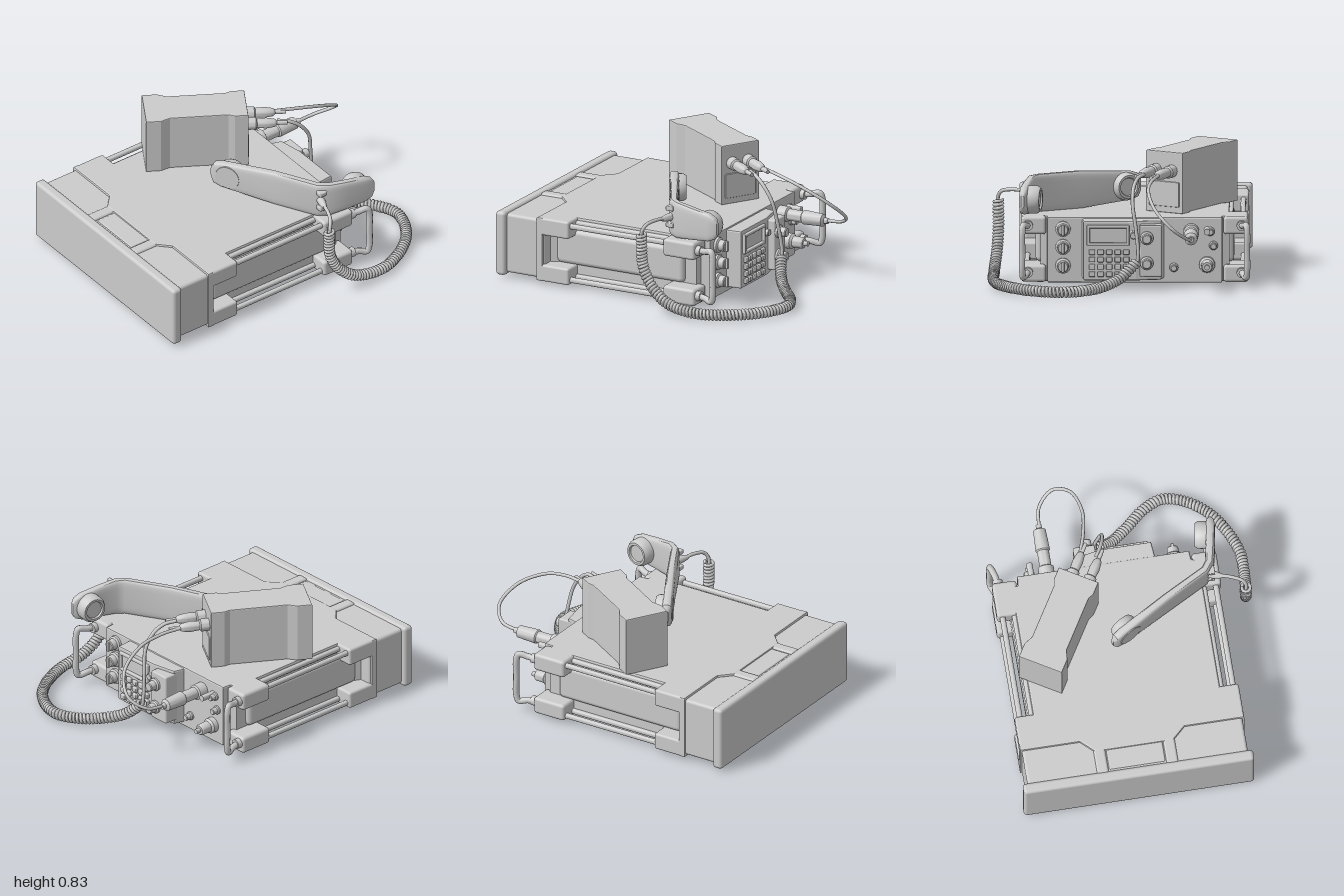
import * as THREE from 'three';
import { RoundedBoxGeometry } from 'three/addons/geometries/RoundedBoxGeometry.js';
import { toCreasedNormals } from 'three/addons/utils/BufferGeometryUtils.js';

const mat = new THREE.MeshStandardMaterial({ color: 0xcccccc });
const V = (x, y, z) => new THREE.Vector3(x, y, z);

function add(parent, name, geo) {
  const m = new THREE.Mesh(geo, mat);
  m.name = name;
  parent.add(m);
  return m;
}

// Rounded box given by its limits
function box(parent, name, x0, x1, y0, y1, z0, z1, r = 0.01) {
  const m = add(parent, name, new RoundedBoxGeometry(x1 - x0, y1 - y0, z1 - z0, 2, r));
  m.position.set((x0 + x1) / 2, (y0 + y1) / 2, (z0 + z1) / 2);
  return m;
}

// Plan outline of [x, z] points raised from y0 to y1
function prism(parent, name, pts, y0, y1, b = 0.01) {
  const shape = new THREE.Shape(pts.map(([x, z]) => new THREE.Vector2(x, -z)));
  const geo = new THREE.ExtrudeGeometry(shape, {
    depth: y1 - y0 - 2 * b, bevelThickness: b, bevelSize: b, bevelOffset: -b, bevelSegments: 2,
  });
  geo.rotateX(-Math.PI / 2).translate(0, y0 + b, 0);
  return add(parent, name, geo);
}

// Turned part from a to b; profile is [radius, fraction along axis]
function turned(parent, name, a, b, profile, sides = 24) {
  const d = b.clone().sub(a), len = d.length();
  const pts = [[0, profile[0][1]], ...profile, [0, profile.at(-1)[1]]];
  const geo = new THREE.LatheGeometry(pts.map(([r, t]) => new THREE.Vector2(r, t * len)), sides);
  const m = add(parent, name, toCreasedNormals(geo, 0.6));
  m.position.copy(a);
  m.quaternion.setFromUnitVectors(V(0, 1, 0), d.normalize());
  return m;
}
const rod = (parent, name, a, b, r, sides) => turned(parent, name, a, b, [[r, 0], [r, 1]], sides);
const knob = (parent, name, x, y, z0, z1, r, sides) =>
  turned(parent, name, V(x, y, z0), V(x, y, z1), [[r, 0], [r, 0.35], [r * 0.75, 0.45], [r * 0.72, 0.93], [r * 0.6, 1]], sides);

function cable(parent, name, pts, r) {
  return add(parent, name, new THREE.TubeGeometry(new THREE.CatmullRomCurve3(pts), 64, r, 8));
}

// Handset grip: rounded sections [x, z, half thickness, half height] along a bent path
function gripGeometry(secs, yMid) {
  const n = 24, pos = [], idx = [];
  const sq = (v) => Math.sign(v) * Math.abs(v) ** 0.45;
  secs.forEach(([x, z, t, h], i) => {
    const p = secs[Math.max(i - 1, 0)], q = secs[Math.min(i + 1, secs.length - 1)];
    const d = new THREE.Vector2(q[0] - p[0], q[1] - p[1]).normalize();
    for (let j = 0; j < n; j++) {
      const a = (j / n) * 2 * Math.PI, o = sq(Math.cos(a)) * t;
      pos.push(x + d.y * o, yMid + sq(Math.sin(a)) * h, z - d.x * o);
    }
  });
  for (let i = 0; i < secs.length - 1; i++) for (let j = 0; j < n; j++) {
    const a = i * n + j, b = i * n + (j + 1) % n;
    idx.push(a, b, a + n, b, b + n, a + n);
  }
  const last = (secs.length - 1) * n;
  for (let j = 1; j < n - 1; j++) idx.push(0, j + 1, j, last, last + j, last + j + 1);
  const geo = new THREE.BufferGeometry();
  geo.setAttribute('position', new THREE.Float32BufferAttribute(pos, 3));
  geo.setIndex(idx);
  return toCreasedNormals(geo, 0.6);
}

// Coiled cord wound round a guide curve
function coilGeometry(guide, turns, radius, wire) {
  const steps = turns * 10, f = guide.computeFrenetFrames(steps), pts = [];
  for (let i = 0; i <= steps; i++) {
    const a = (i / 10) * 2 * Math.PI;
    pts.push(guide.getPointAt(i / steps)
      .addScaledVector(f.normals[i], Math.cos(a) * radius)
      .addScaledVector(f.binormals[i], Math.sin(a) * radius));
  }
  return new THREE.TubeGeometry(new THREE.CatmullRomCurve3(pts), steps, wire, 6);
}

function buildCase() {
  const g = new THREE.Group();
  g.name = 'radioCase';
  g.position.x = -0.093;
  // Main slab, mirrored plan outline from back to front
  const half = [[0.335, -0.45], [0.55, -0.45], [0.555, -0.39], [0.597, -0.38], [0.597, 0.6], [0.625, 0.66],
    [0.717, 0.67], [0.717, 0.71], [0.335, 0.71], [0.25, 0.79]];
  prism(g, 'mainCase', [...half, ...half.map(([x, z]) => [-x, z]).reverse()], 0.02, 0.44);
  // Battery box, end plate and latches
  box(g, 'batteryBox', -0.705, 0.705, 0.035, 0.425, 0.66, 0.95, 0.02);
  box(g, 'endPlate', -0.737, 0.737, 0.02, 0.44, 0.93, 1, 0.022);
  box(g, 'batteryPanel', -0.18, 0.18, 0.03, 0.431, 0.75, 0.92);
  for (const s of [-1, 1]) {
    const at = (name, x0, x1, ...r) => box(g, name, Math.min(s * x0, s * x1), Math.max(s * x0, s * x1), ...r);
    at('latch', 0.185, 0.26, 0.022, 0.438, 0.76, 0.94, 0.015);
    at('sidePanel', 0.5, 0.627, 0.13, 0.36, -0.3, 0.62, 0.03);
    // Corner brackets with rods between them
    for (const top of [0, 1]) {
      const y0 = top ? 0.325 : 0.02, y1 = top ? 0.44 : 0.13;
      at('frontBracket', 0.56, 0.717, y0, y1, 0.48, 0.7, 0.015);
      at('rearBracket', 0.56, 0.717, y0, y1, -0.43, -0.2, 0.02);
      const y = top ? 0.405 : 0.05;
      rod(g, 'sideRod', V(s * 0.682, y, -0.22), V(s * 0.682, y, 0.5), 0.018, 16);
      rod(g, 'innerRail', V(s * 0.605, y, -0.22), V(s * 0.605, y, 0.5), 0.018, 16);
      rod(g, 'handleSocket', V(s * 0.675, top ? 0.385 : 0.085, -0.38), V(s * 0.675, top ? 0.385 : 0.085, -0.46), 0.032, 16);
    }
    cable(g, 'rearHandle', [[0.675, 0.385, -0.42], [0.685, 0.39, -0.49], [0.705, 0.4, -0.545], [0.71, 0.36, -0.56],
      [0.71, 0.235, -0.56], [0.71, 0.11, -0.56], [0.705, 0.07, -0.545], [0.685, 0.08, -0.49], [0.675, 0.085, -0.42]]
      .map(([x, y, z]) => V(s * x, y, z)), 0.021);
  }
  return g;
}

function buildPanel() {
  const g = new THREE.Group();
  g.name = 'controlPanel';
  prism(g, 'centreBlock', [[-0.28, -0.44], [-0.26, -0.52], [-0.1, -0.55], [0.23, -0.55], [0.24, -0.44]], 0.05, 0.43);
  box(g, 'connectorBlock', -0.265, -0.125, 0.08, 0.41, -0.595, -0.48);
  // Display in a raised frame
  for (const [x0, x1, y0, y1] of [[-0.06, 0.21, 0.385, 0.405], [-0.06, 0.21, 0.275, 0.295], [-0.06, -0.04, 0.275, 0.405], [0.19, 0.21, 0.275, 0.405]])
    box(g, 'displayFrame', x0, x1, y0, y1, -0.568, -0.54, 0.006);
  // Keypad
  for (let i = 0; i < 5; i++) for (let j = 0; j < 4; j++)
    box(g, 'key', -0.06 + i * 0.054, -0.02 + i * 0.054, 0.075 + j * 0.047, 0.108 + j * 0.047, -0.567, -0.54, 0.006);
  // Right-hand control column
  for (const y of [0.13, 0.25, 0.365]) {
    knob(g, 'rotaryKnob', 0.36, y, -0.44, -0.515, 0.05, 12);
    box(g, 'knobGrip', 0.35, 0.37, y - 0.035, y + 0.035, -0.53, -0.48, 0.005);
  }
  knob(g, 'volumeKnob', -0.085, 0.34, -0.54, -0.58, 0.03);
  // Sockets and aerial fittings on the other side
  for (const y of [0.33, 0.17]) knob(g, 'cordSocket', -0.17, y, -0.58, -0.66, 0.042);
  knob(g, 'aerialSocket', -0.55, 0.14, -0.44, -0.57, 0.05);
  rod(g, 'aerialPin', V(-0.55, 0.14, -0.56), V(-0.55, 0.14, -0.6), 0.016);
  for (const [x, y] of [[-0.57, 0.35], [-0.59, 0.26], [-0.34, 0.12]]) knob(g, 'panelButton', x, y, -0.44, -0.5, 0.028);
  rod(g, 'groundPost', V(-0.55, 0.36, -0.44), V(-0.55, 0.36, -0.55), 0.02);
  turned(g, 'speakerPlug', V(-0.45, 0.35, -0.44), V(-0.45, 0.35, -0.8),
    [[0.05, 0], [0.05, 0.2], [0.038, 0.22], [0.038, 0.5], [0.046, 0.52], [0.04, 0.9], [0.02, 0.93], [0.018, 1]]);
  return g;
}

function buildSpeaker() {
  const g = new THREE.Group();
  g.name = 'speakerUnit';
  // Waisted box standing on the case
  const half = [[0.135, -0.325], [0.135, -0.24], [0.118, -0.2], [0.118, 0.17], [0.146, 0.23], [0.146, 0.325]];
  prism(g, 'speakerBox', [...half, ...half.map(([x, z]) => [-x, z]).reverse()], 0.44, 0.83, 0.006);
  box(g, 'rearRim', -0.11, 0.11, 0.48, 0.64, -0.333, -0.31, 0.005);
  for (const x of [-0.055, 0.06])
    turned(g, 'cablePlug', V(x, 0.71, -0.31), V(x, 0.7, -0.58),
      [[0.04, 0], [0.04, 0.25], [0.03, 0.28], [0.034, 0.5], [0.026, 0.7], [0.014, 0.75], [0.012, 1]]);
  g.position.set(-0.447, 0, 0.02);
  g.rotation.y = -0.541;
  return g;
}

function buildHandset() {
  const g = new THREE.Group();
  g.name = 'handset';
  add(g, 'grip', gripGeometry([[-0.125, 0.13, 0.012, 0.04], [-0.105, 0.12, 0.028, 0.075], [-0.06, 0.095, 0.032, 0.092],
    [0.25, -0.08, 0.03, 0.12], [0.52, -0.225, 0.03, 0.12], [0.56, -0.28, 0.03, 0.118], [0.585, -0.4, 0.03, 0.105],
    [0.605, -0.53, 0.03, 0.09], [0.612, -0.575, 0.025, 0.07], [0.616, -0.595, 0.01, 0.04]], 0.56));
  const cup = [[0.08, 0], [0.088, 0.2], [0.088, 0.8], [0.075, 1], [0.06, 1], [0.055, 0.9]];
  turned(g, 'mouthpiece', V(0, 0.56, 0.1), V(-0.055, 0.56, 0.005), cup, 32);
  turned(g, 'earpiece', V(0.615, 0.56, -0.485), V(0.5, 0.56, -0.505), cup, 32);
  for (const y of [0.52, 0.63]) box(g, 'talkSwitch', 0.535, 0.585, y - 0.015, y + 0.015, -0.255, -0.2, 0.006);
  // Cord outlet
  turned(g, 'strainRelief', V(0.54, 0.57, -0.23), V(0.63, 0.57, -0.2), [[0.026, 0], [0.024, 0.5], [0.014, 1]]);
  return g;
}

function buildCables() {
  const g = new THREE.Group();
  g.name = 'cables';
  cable(g, 'handsetLead', [V(0.6, 0.57, -0.21), V(0.68, 0.575, -0.185), V(0.75, 0.56, -0.155), V(0.772, 0.52, -0.135), V(0.77, 0.47, -0.13)], 0.012);
  const guide = new THREE.CatmullRomCurve3([V(0.77, 0.5, -0.13), V(0.77, 0.3, -0.14), V(0.78, 0.17, -0.21), V(0.795, 0.08, -0.33),
    V(0.79, 0.042, -0.55), V(0.67, 0.04, -0.79), V(0.53, 0.04, -0.91), V(0.37, 0.04, -0.96), V(0.24, 0.04, -0.91),
    V(0.11, 0.05, -0.8), V(0, 0.09, -0.71), V(-0.08, 0.16, -0.665), V(-0.11, 0.19, -0.655)]);
  add(g, 'coiledCord', coilGeometry(guide, 88, 0.027, 0.011));
  cable(g, 'cordLead', [V(-0.11, 0.18, -0.655), V(-0.115, 0.25, -0.65), V(-0.1, 0.4, -0.63), V(-0.08, 0.55, -0.6), V(-0.085, 0.64, -0.54), V(-0.11, 0.69, -0.47), V(-0.15, 0.705, -0.4)], 0.012);
  cable(g, 'speakerLead', [V(-0.24, 0.705, -0.45), V(-0.2, 0.69, -0.58), V(-0.18, 0.65, -0.74), V(-0.23, 0.55, -0.92),
    V(-0.34, 0.44, -0.985), V(-0.43, 0.37, -0.91), V(-0.45, 0.35, -0.77)], 0.011);
  return g;
}

export function createModel() {
  const model = new THREE.Group();
  model.name = 'fieldRadio';
  model.add(buildCase(), buildPanel(), buildSpeaker(), buildHandset(), buildCables());
  return model;
}
